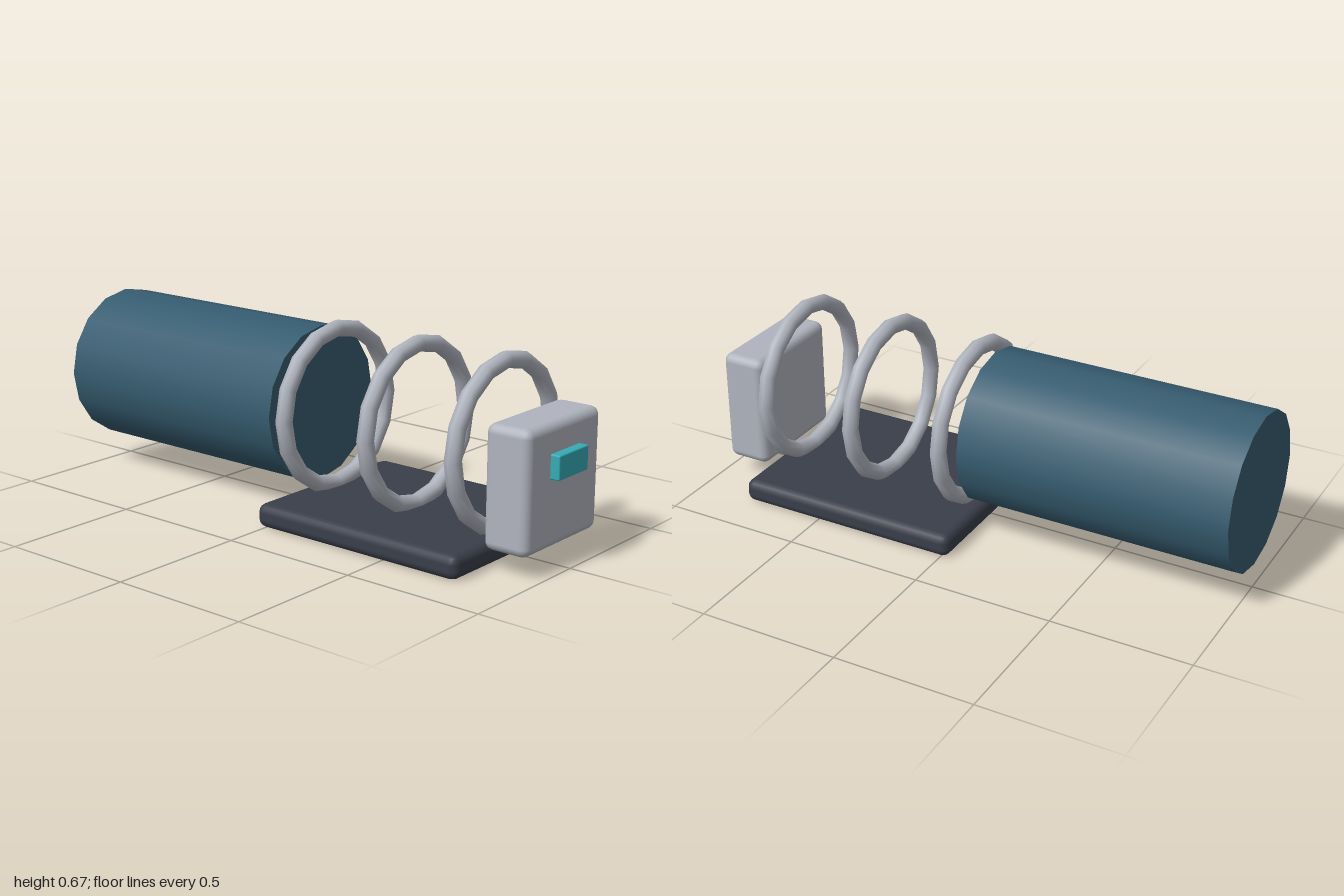
import * as THREE from 'three';
import { RoundedBoxGeometry } from 'three/addons/geometries/RoundedBoxGeometry.js';

const material = (name, color) => {
  const m = new THREE.MeshStandardMaterial({ color });
  m.name = name;
  return m;
};

export function createModel() {
  const group = new THREE.Group();
  const blue = material('slate blue', 0x365c70);
  const dark = material('charcoal', 0x3a3e4a);
  const grey = material('light grey', 0xb0b4be);
  const teal = material('teal', 0x36aab5);
  const axisY = 0.364;

  const add = (name, geometry, mat, x, y) => {
    const mesh = new THREE.Mesh(geometry, mat);
    mesh.name = name;
    mesh.position.set(x, y, 0);
    group.add(mesh);
    return mesh;
  };

  // Solid barrel lying along x
  const barrel = new THREE.CylinderGeometry(0.275, 0.275, 0.97, 16);
  barrel.rotateZ(Math.PI / 2);
  add('barrel', barrel, blue, -0.515, axisY);

  // Base plate
  add('basePlate', new RoundedBoxGeometry(0.83, 0.083, 0.69, 2, 0.03), dark, 0.385, 0.0415);

  // Three hoops standing on the plate
  const hoop = new THREE.TorusGeometry(0.275, 0.029, 8, 16);
  hoop.rotateY(Math.PI / 2);
  [0.038, 0.386, 0.734].forEach((x, i) => add(`hoop${i + 1}`, hoop, grey, x, axisY));

  // End block with its button
  add('endBlock', new RoundedBoxGeometry(0.166, 0.414, 0.414, 2, 0.03), grey, 0.884, 0.28);
  add('button', new RoundedBoxGeometry(0.05, 0.082, 0.166, 2, 0.005), teal, 0.975, 0.349);

  return group;
}
